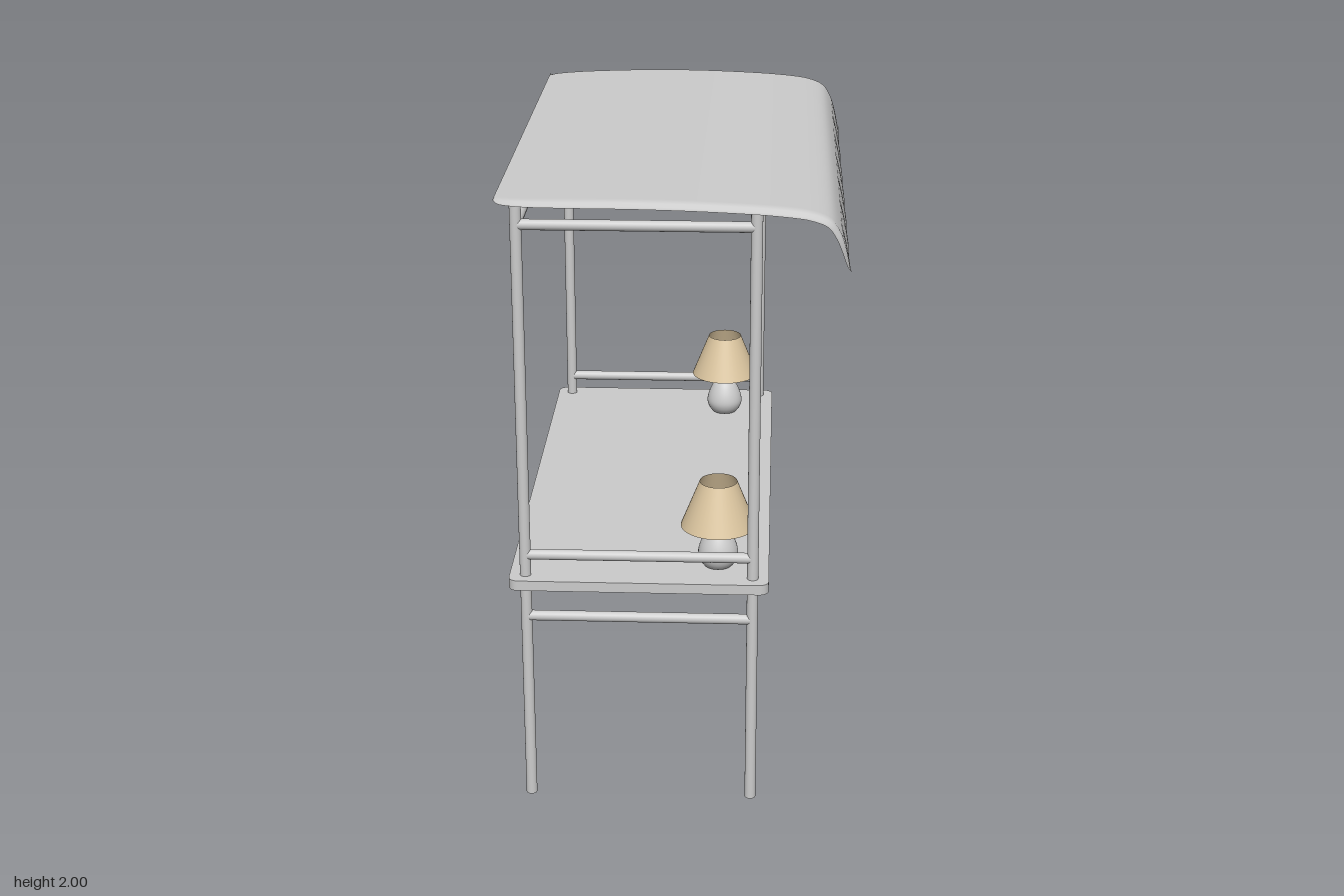
import * as THREE from 'three';
import { ParametricGeometry } from 'three/addons/geometries/ParametricGeometry.js';

const grey = new THREE.MeshStandardMaterial({ color: 0xcccccc });
const cloth = new THREE.MeshStandardMaterial({ color: 0xcccccc, side: THREE.DoubleSide });
const shadeMat = new THREE.MeshStandardMaterial({ color: 0xdcc6a0, side: THREE.DoubleSide });

const BACK = -0.46, FRONT = 0.245, END = 0.795; // post positions
const v3 = (x, y, z) => new THREE.Vector3(x, y, z);

function add(parent, name, geometry, material = grey) {
  const mesh = new THREE.Mesh(geometry, material);
  mesh.name = name;
  parent.add(mesh);
  return mesh;
}

// Round bar between two points
function bar(parent, name, a, b, radius, sides = 20) {
  const mesh = add(parent, name, new THREE.CylinderGeometry(radius, radius, a.distanceTo(b), sides));
  mesh.position.copy(a).add(b).multiplyScalar(0.5);
  mesh.quaternion.setFromUnitVectors(v3(0, 1, 0), b.clone().sub(a).normalize());
  return mesh;
}

// Posts, end rails and long top rails
function createFrame() {
  const frame = new THREE.Group();
  frame.name = 'frame';
  for (const z of [-END, END]) {
    for (const x of [BACK, FRONT]) bar(frame, 'post', v3(x, 0, z), v3(x, 1.975, z), 0.0175);
    for (const y of [0.635, 0.845, 1.905]) bar(frame, 'endRail', v3(BACK, y, z), v3(FRONT, y, z), 0.0165);
  }
  for (const x of [BACK, FRONT]) bar(frame, 'topRail', v3(x, 1.905, -END), v3(x, 1.905, END), 0.0165);
  return frame;
}

// Counter board with rounded corners
function counterGeometry() {
  const x0 = -0.51, x1 = 0.295, w = 0.845, r = 0.03;
  const s = new THREE.Shape();
  s.absarc(x1 - r, w - r, r, 0, Math.PI / 2);
  s.absarc(x0 + r, w - r, r, Math.PI / 2, Math.PI);
  s.absarc(x0 + r, -w + r, r, Math.PI, Math.PI * 1.5);
  s.absarc(x1 - r, -w + r, r, Math.PI * 1.5, Math.PI * 2);
  const g = new THREE.ExtrudeGeometry(s, { depth: 0.033, bevelEnabled: false, curveSegments: 6 });
  return g.rotateX(-Math.PI / 2).translate(0, 0.743, 0);
}

// Cloth sheet: x, y is the profile and the third value its half width
function canopyGeometry() {
  const profile = new THREE.CatmullRomCurve3([
    [-0.52, 1.988, 0.83], [-0.5, 1.99, 0.855], [-0.43, 1.993, 0.877], [-0.3, 1.997, 0.89],
    [-0.1, 2, 0.898], [0.12, 1.996, 0.9], [0.32, 1.985, 0.9], [0.41, 1.972, 0.9],
    [0.46, 1.95, 0.9], [0.487, 1.91, 0.9], [0.503, 1.86, 0.898], [0.513, 1.81, 0.89],
    [0.52, 1.767, 0.865],
  ].map(p => v3(...p)), false, 'centripetal');
  const p = v3(), t = v3();
  return new ParametricGeometry((u, v, target) => {
    profile.getPoint(u, p);
    profile.getTangent(u, t);
    const s = 1 - 2 * v;
    const z = s * p.z;
    // the end hems curl inwards
    const hem = 0.018 * Math.sqrt(Math.max(0, Math.sin(Math.PI * u)))
      * THREE.MathUtils.smoothstep(Math.abs(s), 0.955, 1);
    // the hanging edge is scalloped and rises at its corners
    const hang = THREE.MathUtils.smoothstep(p.y, 1.76, 1.93);
    const lift = 0.012 * Math.cos(2 * Math.PI * z / 0.27) + 0.025 * THREE.MathUtils.smoothstep(Math.abs(s), 0.94, 1);
    const len = Math.hypot(t.x, t.y);
    target.set(p.x + hem * t.y / len, p.y - hem * t.x / len + (p.x > 0.3 ? lift * (1 - hang) : 0), z);
  }, 48, 140);
}

// Table lamp with egg-shaped base and open tapered shade
function createLamp(x, z, shadeY, height) {
  const lamp = new THREE.Group();
  lamp.name = 'lamp';
  lamp.position.set(x, 0.775, z);
  const egg = new THREE.SplineCurve([
    [0.042, 0], [0.056, 0.018], [0.063, 0.042], [0.057, 0.073], [0.042, 0.105], [0.026, 0.123], [0.018, 0.128],
  ].map(q => new THREE.Vector2(...q))).getPoints(24);
  add(lamp, 'lampBase', new THREE.LatheGeometry(
    [new THREE.Vector2(0, 0), ...egg, new THREE.Vector2(0, 0.13)], 32));
  bar(lamp, 'lampStem', v3(0, 0.12, 0), v3(0, shadeY + 0.035, 0), 0.006, 12);
  bar(lamp, 'lampSocket', v3(0, shadeY + 0.015, 0), v3(0, shadeY + 0.05, 0), 0.013, 16);
  const bulb = add(lamp, 'bulb', new THREE.SphereGeometry(0.022, 16, 12));
  bulb.position.y = shadeY + 0.065;

  // Shade with its carrier spokes
  const shade = add(lamp, 'lampShade', new THREE.CylinderGeometry(0.058, 0.117, height, 40, 1, true), shadeMat);
  shade.position.y = shadeY + height / 2;
  for (let i = 0; i < 3; i++) {
    const a = i * Math.PI * 2 / 3;
    bar(lamp, 'shadeSpoke', v3(0, shadeY + 0.03, 0),
      v3(0.104 * Math.cos(a), shadeY + 0.03, 0.104 * Math.sin(a)), 0.002, 6);
  }
  return lamp;
}

export function createModel() {
  const stall = new THREE.Group();
  stall.name = 'canopyStall';
  stall.add(createFrame());
  add(stall, 'counter', counterGeometry());
  add(stall, 'canopy', canopyGeometry(), cloth);
  stall.add(createLamp(0.135, 0.695, 0.137, 0.148));
  stall.add(createLamp(0.12, -0.635, 0.148, 0.146));
  return stall;
}
